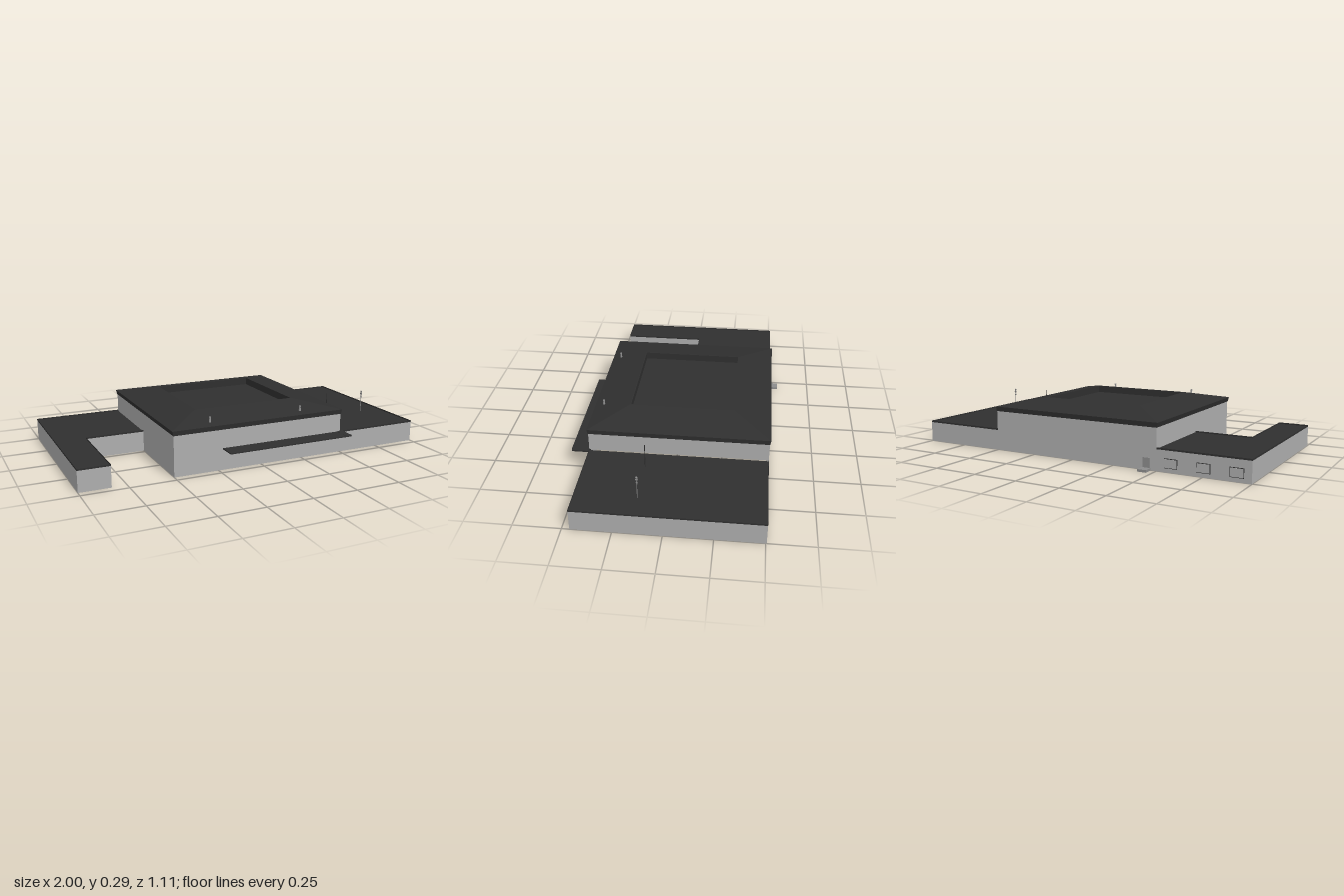
import * as THREE from 'three';

const D = THREE.DoubleSide;
const wallMat = new THREE.MeshStandardMaterial({ color: 0xadadad, side: D });
wallMat.name = 'pale grey wall';
const roofMat = new THREE.MeshStandardMaterial({ color: 0x2f2f2f, side: D });
roofMat.name = 'charcoal roof';
const trimMat = new THREE.MeshStandardMaterial({ color: 0x8c8c8c, side: D });
trimMat.name = 'mid grey fittings';

const Z0 = -0.505, Z1 = 0.46, LOW = 0.12, HIGH = 0.222;

// Flat-shaded quad strips between consecutive rows of points
function loft(rows) {
  const pos = [];
  for (let r = 0; r < rows.length - 1; r++) {
    for (let i = 0; i < rows[r].length - 1; i++) {
      const a = rows[r][i], b = rows[r][i + 1], c = rows[r + 1][i + 1], d = rows[r + 1][i];
      pos.push(...a, ...b, ...c, ...a, ...c, ...d);
    }
  }
  const g = new THREE.BufferGeometry();
  g.setAttribute('position', new THREE.Float32BufferAttribute(pos, 3));
  g.computeVertexNormals();
  return g;
}

// Upright strip that follows a path of [x, z] points, running counter-clockwise from above
const strip = (path, y0, y1) => loft([y0, y1].map(y => path.map(([x, z]) => [x, y, z])));

// Horizontal plate with an [x, z] outline
function plate(path, y) {
  const shape = new THREE.Shape(path.map(([x, z]) => new THREE.Vector2(x, -z)));
  return new THREE.ShapeGeometry(shape).rotateX(-Math.PI / 2).translate(0, y, 0);
}

const rect = (x0, x1, z0, z1) => [[x0, z1], [x1, z1], [x1, z0], [x0, z0]];
const ring = (x0, x1, z0, z1, y) =>
  [...rect(x0, x1, z0, z1), [x0, z1]].map(([x, z]) => [x, y, z]);

export function createModel() {
  const model = new THREE.Group();
  model.name = 'building';
  const add = (name, geo, mat, parent = model) => {
    const m = new THREE.Mesh(geo, mat);
    m.name = name;
    parent.add(m);
    return m;
  };
  const box = (name, x0, x1, y0, y1, z0, z1, mat) =>
    add(name, new THREE.BoxGeometry(x1 - x0, y1 - y0, z1 - z0)
      .translate((x0 + x1) / 2, (y0 + y1) / 2, (z0 + z1) / 2), mat);

  // Main hall, open to the east wing below the wing roof
  add('hallWalls', strip([[0.5, Z0], [-0.5, Z0], [-0.5, Z1], [0.5, Z1]], 0, HIGH), wallMat);
  add('hallUpperWall', strip([[0.5, Z1], [0.5, Z0]], LOW, HIGH), wallMat);
  add('hallCeiling', plate(rect(-0.5, 0.5, Z0, Z1), HIGH), roofMat);

  // Flared fascia, hipped slopes and the sunken centre of the roof
  add('hallRoof', loft([
    ring(-0.502, 0.502, -0.506, 0.462, HIGH),
    ring(-0.508, 0.504, -0.51, 0.467, 0.248),
    ring(-0.3, 0.295, -0.308, 0.264, 0.29),
    ring(-0.295, 0.29, -0.303, 0.259, 0.29),
    ring(-0.295, 0.29, -0.303, 0.259, 0.25),
  ]), roofMat);
  add('sunkenRoof', plate(rect(-0.295, 0.29, -0.303, 0.259), 0.25), roofMat);

  // Low wings with a shallow dark parapet
  const wings = {
    eastWing: [[0.5, Z1], [1, Z1], [1, Z0], [0.5, Z0]],
    westWing: [[-0.5, Z0], [-1, Z0], [-1, Z1], [-0.83, Z1], [-0.83, -0.02], [-0.5, -0.02]],
  };
  for (const [name, path] of Object.entries(wings)) {
    add(name + 'Walls', strip(path, 0, 0.113), wallMat);
    add(name + 'Parapet', strip(path, 0.113, 0.122), roofMat);
    add(name + 'Roof', plate(path, 0.114), roofMat);
  }

  // Entrance canopy
  box('canopy', -0.225, 0.5, 0.114, 0.12, 0.452, 0.555, roofMat);
  box('canopyEnd', 0.48, 0.518, 0.113, 0.121, Z1, 0.552, roofMat);

  // Back step, door and windows
  box('backStep', -0.47, -0.42, 0, 0.013, -0.558, Z0, trimMat);
  box('backDoor', -0.465, -0.425, 0.013, 0.065, -0.509, Z0, trimMat);
  for (const x of [-0.58, -0.755, -0.925]) {
    box('windowFrame', x - 0.036, x + 0.036, 0.022, 0.072, -0.508, Z0, roofMat);
    box('windowPane', x - 0.033, x + 0.033, 0.025, 0.069, -0.51, Z0, wallMat);
  }

  // Roof vents
  for (const x of [-0.28, 0.26]) {
    const vent = new THREE.Group();
    vent.name = 'roofVent';
    vent.position.set(x, 0.255, 0.418);
    model.add(vent);
    add('ventPipe', new THREE.CylinderGeometry(0.004, 0.007, 0.025, 8).translate(0, 0.0125, 0), trimMat, vent);
    add('ventCap', new THREE.CylinderGeometry(0.006, 0.006, 0.006, 8).translate(0, 0.028, 0), trimMat, vent);
  }

  // Mast and antenna on the east wing
  add('mast', new THREE.CylinderGeometry(0.002, 0.002, 0.14, 6).translate(0.615, 0.185, 0.138), roofMat);
  add('antennaPole', new THREE.CylinderGeometry(0.0018, 0.0018, 0.13, 6).translate(0.865, 0.18, 0.14), trimMat);
  for (const [y, r] of [[0.205, 0.005], [0.225, 0.007], [0.238, 0.006]]) {
    add('antennaHead', new THREE.CylinderGeometry(r, r * 0.5, 0.012, 6).translate(0.865, y, 0.14), trimMat);
  }
  return model;
}
